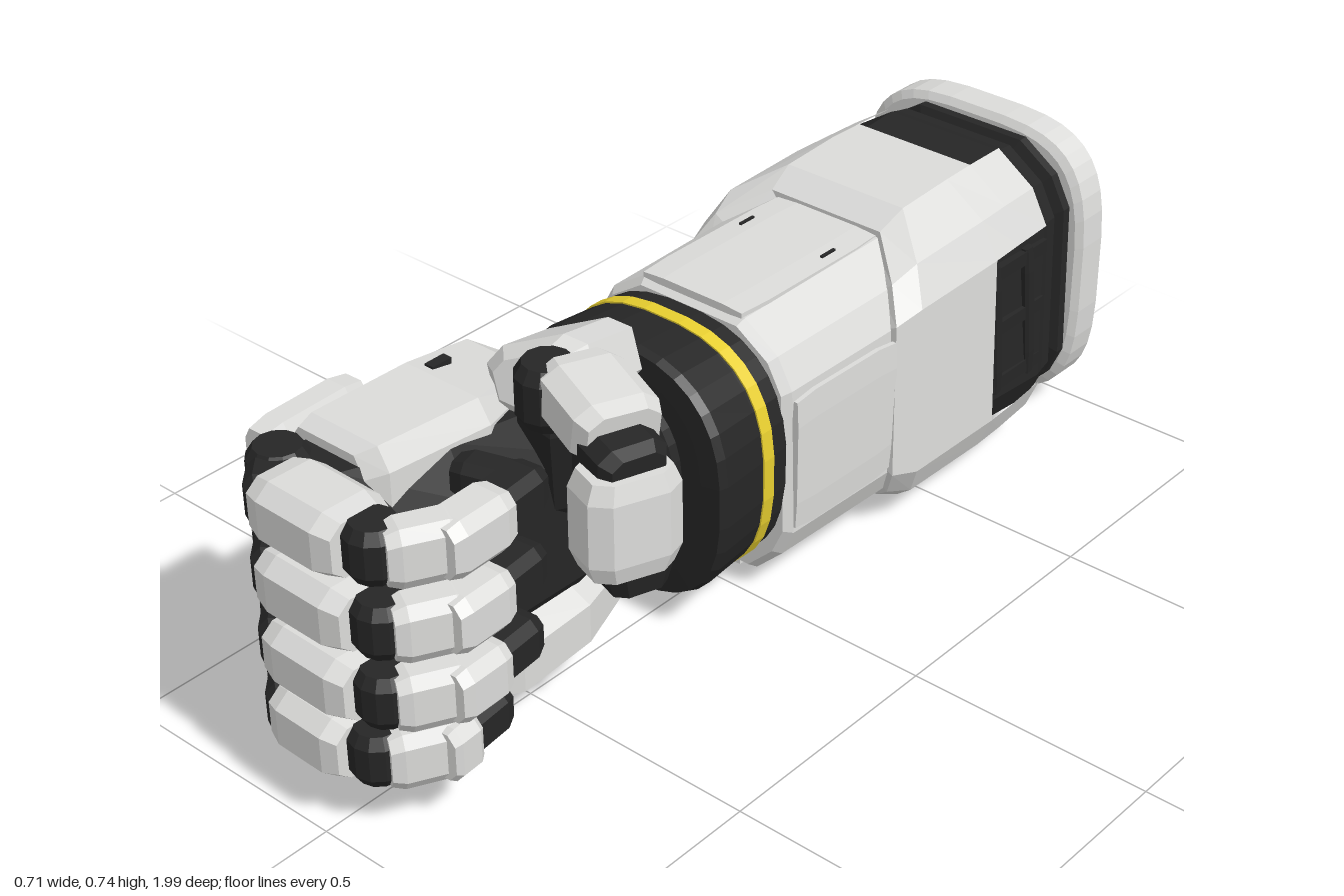
import * as THREE from 'three';

const white = new THREE.MeshStandardMaterial({ name: 'light grey armour', color: 0xdbdbd9, side: THREE.DoubleSide });
const dark = new THREE.MeshStandardMaterial({ name: 'dark mechanism', color: 0x262626 });
const yellow = new THREE.MeshStandardMaterial({ name: 'yellow band', color: 0xe8cf30 });

// Unit cross-sections, counter-clockwise seen from +z
const ARMOUR = [[-0.64, -1], [0.64, -1], [0.89, -0.78], [1, -0.56], [0.96, 0.58], [0.82, 0.81], [0.5, 1],
  [-0.5, 1], [-0.82, 0.81], [-0.96, 0.58], [-1, -0.56], [-0.89, -0.78]];
const OCT = [[-0.6, -1], [0.6, -1], [1, -0.6], [1, 0.6], [0.6, 1], [-0.6, 1], [-1, 0.6], [-1, -0.6]];
const HAND = [[-0.5, -1], [0.6, -1], [1, -0.75], [1, 0.85], [0.8, 1], [-0.45, 1], [-0.9, 0.75], [-1, 0.3], [-1, -0.4], [-0.85, -0.8]];
const squircle = (n, count) => Array.from({ length: count }, (_, i) => {
  const a = ((i + 0.5) / count) * Math.PI * 2, c = Math.cos(a), s = Math.sin(a);
  return [Math.sign(c) * Math.abs(c) ** (2 / n), Math.sign(s) * Math.abs(s) ** (2 / n)];
});
const ROUND = squircle(2.6, 32), CAP = squircle(3.6, 40);

// One ring from its bounds; z may depend on the profile point
const ring = (profile, z, x0, x1, y0, y1) => profile.map(([px, py]) => new THREE.Vector3(
  (x0 + x1) / 2 + (px * (x1 - x0)) / 2, (y0 + y1) / 2 + (py * (y1 - y0)) / 2,
  typeof z === 'function' ? z(px) : z));

// Flat-shaded skin through rings of increasing z; skip(j, i) leaves a panel open
function loft(name, mat, rings, { skip = () => false, caps = true } = {}) {
  const pts = [];
  const n = rings[0].length;
  for (let j = 0; j < rings.length - 1; j++) {
    for (let i = 0; i < n; i++) {
      if (skip(j, i)) continue;
      const k = (i + 1) % n;
      const a = rings[j][i], b = rings[j][k], c = rings[j + 1][k], d = rings[j + 1][i];
      pts.push(a, b, c, a, c, d);
    }
  }
  if (caps) {
    const first = rings[0], last = rings[rings.length - 1];
    for (let i = 1; i < n - 1; i++) pts.push(first[0], first[i + 1], first[i], last[0], last[i], last[i + 1]);
  }
  const geo = new THREE.BufferGeometry().setFromPoints(pts);
  geo.computeVertexNormals();
  const mesh = new THREE.Mesh(geo, mat);
  mesh.name = name;
  return mesh;
}

// Chamfered bar from a to b, w across and h along the up direction
function bar(name, mat, a, b, w, h, up = [0, 1, 0], end = 0.78) {
  const A = new THREE.Vector3(...a), B = new THREE.Vector3(...b), len = A.distanceTo(B);
  const rings = [[0, end], [0.18, 1], [0.82, 1], [1, end]].map(([t, s]) =>
    ring(OCT, t * len, -w * s / 2, w * s / 2, -h * s / 2, h * s / 2));
  const mesh = loft(name, mat, rings);
  mesh.position.copy(A);
  mesh.up.set(...up);
  mesh.lookAt(B);
  return mesh;
}

// Upright joint drum with bevelled rims
function joint(name, r, h, x, y, z) {
  const outline = [[0, -h / 2], [r * 0.75, -h / 2], [r, -h * 0.3], [r, h * 0.3], [r * 0.75, h / 2], [0, h / 2]];
  const geo = new THREE.LatheGeometry(outline.map((p) => new THREE.Vector2(...p)), 12).toNonIndexed();
  geo.computeVertexNormals();
  const mesh = new THREE.Mesh(geo, dark);
  mesh.name = name;
  mesh.position.set(x, y, z);
  return mesh;
}

function box(name, mat, w, h, d, x, y, z) {
  const mesh = new THREE.Mesh(new THREE.BoxGeometry(w, h, d), mat);
  mesh.name = name;
  mesh.position.set(x, y, z);
  return mesh;
}

function forearm() {
  const g = new THREE.Group();
  g.name = 'forearm';
  // Closed end cap
  g.add(loft('endCap', white, [[-1, 0.02], [-0.985, 0], [-0.92, 0], [-0.91, 0.015]].map(([z, i]) =>
    ring(CAP, z, -0.35 + i, 0.21 - i, 0.025 + i, 0.64 - i))));
  // Ribbed inner core
  g.add(loft('innerCore', dark, [[-0.92, 0.03], [-0.89, 0.03], [-0.88, 0.05], [-0.865, 0.05], [-0.85, 0.025],
    [-0.82, 0.02], [-0.8, 0.016], [-0.5, 0.03]].map(([z, i]) => ring(ARMOUR, z, -0.35 + i, 0.215 - i, 0.01 + i, 0.645 - i))));
  // Rear armour with four notches; its front lip steps back around the top and bottom panels
  const lip = (base) => (x) => base + 0.22 * Math.max(0, Math.abs(x) - 0.5);
  g.add(loft('rearArmour', white, [
    ring(ARMOUR, -0.8, -0.34, 0.205, 0.008, 0.635),
    ring(ARMOUR, -0.7, -0.345, 0.21, 0, 0.637),
    ring(ARMOUR, -0.62, -0.35, 0.215, 0, 0.637),
    ring(ARMOUR, lip(-0.48), -0.35, 0.215, 0.004, 0.63),
    ring(ARMOUR, lip(-0.42), -0.335, 0.2, 0.03, 0.6),
    ring(ARMOUR, lip(-0.42), -0.29, 0.165, 0.06, 0.57),
  ], { caps: false, skip: (j, i) => (j < 2 && (i === 3 || i === 9)) || (j < 1 && (i === 0 || i === 6)) }));
  // Struts inside the side notches
  for (const s of [-1, 1]) {
    const x = -0.0675 + s * 0.256;
    for (const y of [0.2, 0.33, 0.46]) g.add(box('notchRib', dark, 0.02, 0.03, 0.17, x, y, -0.715));
    for (const z of [-0.77, -0.66]) {
      g.add(bar('notchStrut', dark, [x, 0.18, z], [x, 0.48, z + 0.03], 0.03, 0.03, [1, 0, 0]));
    }
  }
  // Front armour and raised panels
  g.add(loft('frontArmour', white, [[-0.5, 0], [-0.03, 0.008], [-0.012, 0.02]].map(([z, i]) =>
    ring(ARMOUR, z, -0.317 + i, 0.19 - i, 0.033 + i, 0.588 - i))));
  for (const [y, name] of [[0.584, 'topPanel'], [0.037, 'bottomPanel']]) {
    g.add(bar(name, white, [-0.065, y, -0.43], [-0.065, y, -0.025], 0.25, 0.018, [0, 1, 0], 0.96));
  }
  for (const s of [-1, 1]) {
    g.add(bar('sidePanel', white, [-0.064 + s * 0.25, 0.31, -0.32], [-0.064 + s * 0.245, 0.31, -0.03], 0.016, 0.29, [0, 1, 0], 0.95));
    g.add(box('panelSlot', dark, 0.006, 0.006, 0.04, -0.065 + s * 0.1, 0.592, -0.3));
  }
  // Cuff flaring forward, its band and the wrist
  g.add(loft('cuff', dark, [[-0.03, 0.02], [-0.01, 0.009], [0.06, 0.007], [0.16, 0], [0.178, 0.006], [0.18, 0.05]].map(([z, i]) =>
    ring(ROUND, z, -0.325 + i, 0.184 - i, 0.052 + i, 0.578 - i))));
  g.add(loft('yellowBand', yellow, [0.027, 0.055].map((z) => ring(ROUND, z, -0.321, 0.18, 0.056, 0.574))));
  g.add(loft('wrist', dark, [[0.16, 0], [0.2, 0], [0.21, 0.015], [0.225, 0.015], [0.235, 0], [0.3, 0.03]].map(([z, i]) =>
    ring(ROUND, z, -0.25 + i, 0.09 - i, 0.13 + i, 0.5 - i))));
  return g;
}

function palm() {
  const g = new THREE.Group();
  g.name = 'palm';
  g.add(loft('handBack', white, [
    ring(HAND, 0.265, -0.25, -0.12, 0.18, 0.52),
    ring(HAND, 0.4, -0.28, -0.07, 0.1, 0.62),
    ring(HAND, 0.56, -0.285, -0.005, 0.068, 0.65),
    ring(HAND, 0.78, -0.275, -0.02, 0.08, 0.655),
    ring(HAND, 0.81, -0.265, -0.05, 0.1, 0.64),
  ]));
  g.add(loft('palmCore', dark, [
    ring(OCT, 0.26, -0.2, 0.03, 0.18, 0.48),
    ring(OCT, 0.4, -0.22, 0.05, 0.15, 0.58),
    ring(OCT, 0.65, -0.2, 0.03, 0.12, 0.61),
    ring(OCT, 0.85, -0.24, -0.03, 0.1, 0.625),
  ]));
  // Heel plate below the palm
  g.add(loft('heelPlate', white, [
    ring(OCT, 0.26, -0.2, 0.03, 0.11, 0.21),
    ring(OCT, 0.42, -0.23, 0.08, 0.085, 0.22),
    ring(OCT, 0.58, -0.24, 0.07, 0.06, 0.2),
    ring(OCT, 0.74, -0.22, -0.02, 0.075, 0.14),
  ]));
  // Knuckle guards along the outer edge
  for (const [y, h, x, w] of [[0.582, 0.13, -0.255, 0.07], [0.335, 0.37, -0.272, 0.055], [0.12, 0.1, -0.24, 0.065]]) {
    g.add(bar('knuckleGuard', white, [x, y, 0.64], [x + 0.008, y, 0.865], w, h, [0, 1, 0], 0.88));
  }
  g.add(box('handSlot', dark, 0.02, 0.012, 0.045, -0.17, 0.645, 0.52));
  return g;
}

// reach moves the curled end sideways, tipZ is where the tip armour stops
function finger(y, reach, tipZ) {
  const g = new THREE.Group();
  g.name = 'finger';
  const p = (x, z) => [x, y, z];
  g.add(joint('knuckle', 0.057, 0.11, -0.19, y, 0.87));
  g.add(bar('knuckleLink', dark, p(-0.225, 0.84), p(-0.12, 0.955), 0.09, 0.1));
  g.add(bar('fingerCore', dark, p(-0.17, 0.915), p(0.11 + reach, 0.91), 0.09, 0.085));
  g.add(bar('middleArmour', white, p(-0.145, 0.915), p(0.06 + reach, 0.92), 0.15, 0.122, [0, 1, 0], 0.85));
  g.add(joint('middleJoint', 0.054, 0.105, 0.085 + reach, y, 0.915));
  g.add(bar('tipArmour', white, p(0.115 + reach, 0.925), p(0.175 + reach, 0.81), 0.075, 0.115, [0, 1, 0], 0.85));
  g.add(bar('tipArmour', white, p(0.17 + reach, 0.86), p(0.165 + reach, tipZ), 0.095, 0.112, [0, 1, 0], 0.85));
  g.add(bar('fingertip', dark, p(0.16 + reach, tipZ + 0.04), p(0.145 + reach, tipZ - 0.1), 0.085, 0.09));
  g.add(bar('fingertipPad', dark, p(0.17 + reach, tipZ - 0.075), p(0.035 + reach, tipZ - 0.035), 0.07, 0.08));
  return g;
}

function thumb() {
  const g = new THREE.Group();
  g.name = 'thumb';
  const slant = [-0.35, 0, 0.94];
  // Root: dark inner side, armour shell leaning outward over the hand back
  g.add(bar('thumbBase', dark, [0, 0.38, 0.36], [0.05, 0.66, 0.42], 0.13, 0.19, [0, 0, 1]));
  g.add(bar('thumbRootArmour', white, [-0.025, 0.61, 0.27], [0.02, 0.673, 0.49], 0.21, 0.125, [-0.4, 0.9, 0], 0.65));
  g.add(joint('thumbRootJoint', 0.06, 0.12, 0.065, 0.672, 0.49));
  g.add(bar('thumbMiddleArmour', white, [0.085, 0.692, 0.45], [0.255, 0.668, 0.51], 0.16, 0.11, [0.15, 1, 0], 0.85));
  g.add(bar('thumbJoint', dark, [0.19, 0.64, 0.5], [0.315, 0.63, 0.54], 0.13, 0.1));
  g.add(bar('thumbCore', dark, [0.265, 0.66, 0.52], [0.28, 0.395, 0.52], 0.11, 0.13, slant));
  g.add(bar('thumbTipArmour', white, [0.278, 0.635, 0.535], [0.282, 0.445, 0.54], 0.125, 0.175, slant, 0.85));
  return g;
}

export function createModel() {
  const model = new THREE.Group();
  model.name = 'mechanicalForearm';
  model.add(forearm(), palm(), thumb());
  for (const args of [[0.588, 0, 0.715], [0.443, 0.005, 0.73], [0.298, 0, 0.74], [0.16, -0.03, 0.79]]) model.add(finger(...args));
  return model;
}
